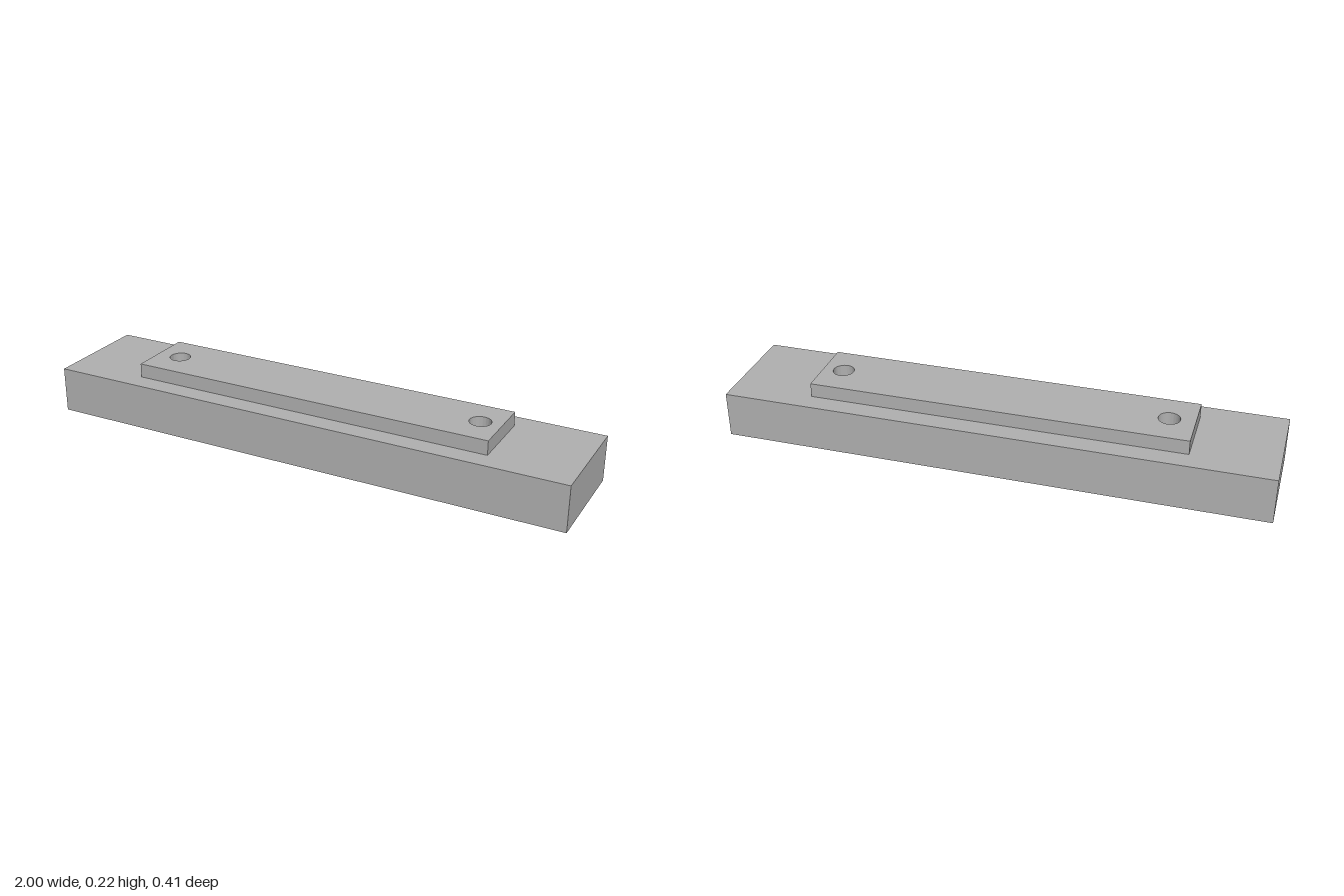
import * as THREE from 'three';
import { toCreasedNormals } from 'three/addons/utils/BufferGeometryUtils.js';

const HOLES = [-0.6, 0.615]; // x positions of the screw holes
const HOLE_RADIUS = 0.039;

// Rectangular slab lying flat, pierced by the screw holes
function drilledSlab(name, width, depth, bottom, top, material) {
  const w = width / 2, d = depth / 2;
  const shape = new THREE.Shape();
  shape.moveTo(-w, -d).lineTo(w, -d).lineTo(w, d).lineTo(-w, d).closePath();
  for (const x of HOLES) {
    shape.holes.push(new THREE.Path().absarc(x, 0, HOLE_RADIUS, 0, Math.PI * 2, true));
  }
  const geometry = new THREE.ExtrudeGeometry(shape, {
    depth: top - bottom, bevelEnabled: false, curveSegments: 32,
  });
  geometry.rotateX(-Math.PI / 2).translate(0, bottom, 0);
  const mesh = new THREE.Mesh(toCreasedNormals(geometry, Math.PI / 6), material);
  mesh.name = name;
  return mesh;
}

export function createModel() {
  const grey = new THREE.MeshStandardMaterial({ color: 0xb0b0b0 });
  grey.name = 'grey';

  const model = new THREE.Group();
  model.name = 'drilledBlock';
  model.add(
    drilledSlab('base', 2, 0.405, 0, 0.171, grey),
    drilledSlab('raisedPlate', 1.385, 0.255, 0.171, 0.224, grey),
  );
  return model;
}
